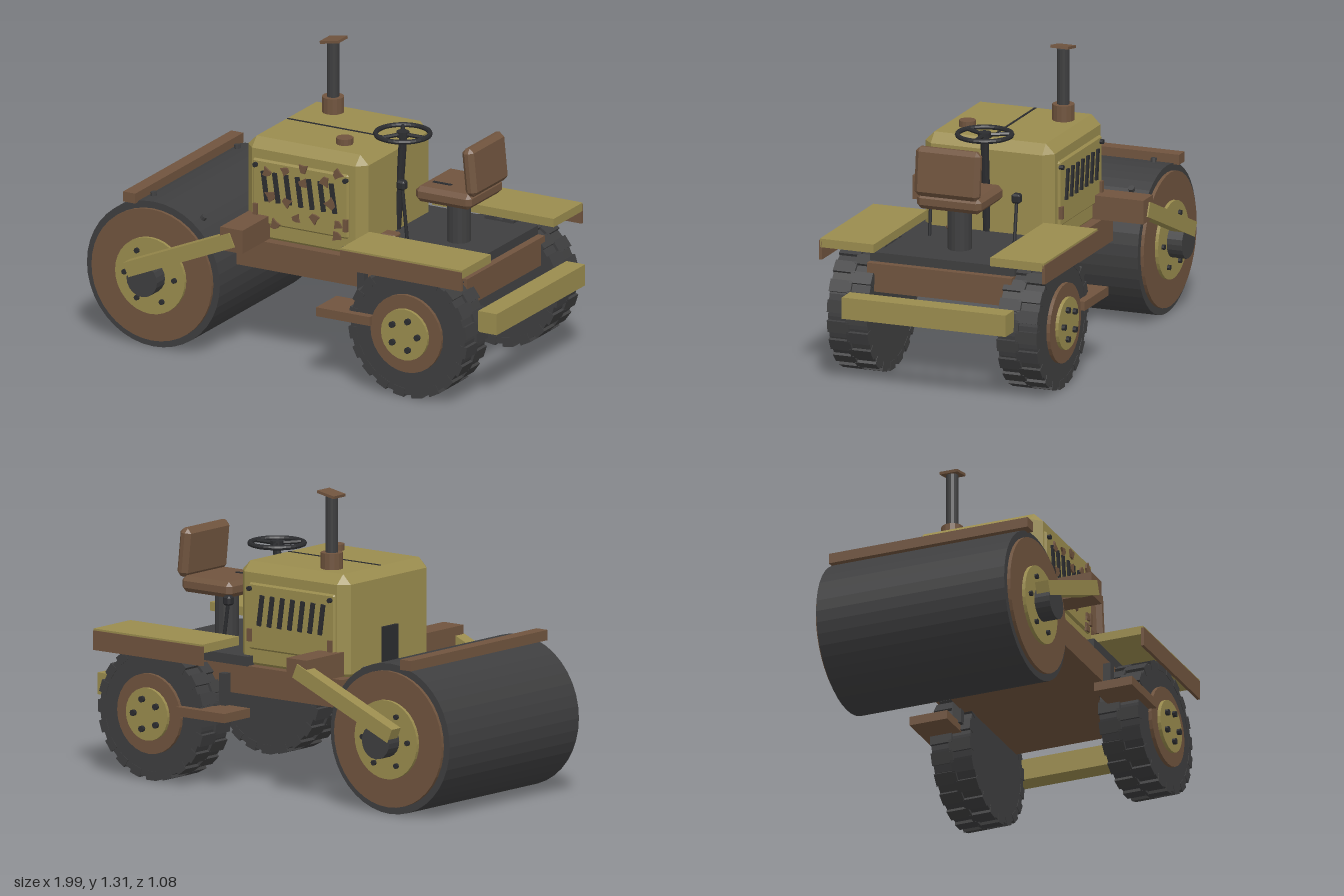
import * as THREE from 'three';
import { ConvexGeometry } from 'three/addons/geometries/ConvexGeometry.js';

const mat = (name, color) => {
  const m = new THREE.MeshStandardMaterial({ color });
  m.name = name;
  m.flatShading = true;
  return m;
};

export function createModel() {
  const root = new THREE.Group();
  root.name = 'roadRoller';
  const yellow = mat('fadedYellow', 0x9a8c4e);
  const rust = mat('rustBrown', 0x70543e);
  const dark = mat('darkMetal', 0x3e3e3f);
  const black = mat('blackDetail', 0x2b2c2f);

  const add = (name, geo, m, x = 0, y = 0, z = 0, parent = root) => {
    const mesh = new THREE.Mesh(geo, m);
    mesh.name = name;
    mesh.position.set(x, y, z);
    parent.add(mesh);
    return mesh;
  };
  // Box given by its low and high limits on each axis
  const box = (name, m, x0, x1, y0, y1, z0, z1, parent) =>
    add(name, new THREE.BoxGeometry(x1 - x0, y1 - y0, z1 - z0), m,
      (x0 + x1) / 2, (y0 + y1) / 2, (z0 + z1) / 2, parent);
  // Box with every edge cut at 45 degrees
  const chamferBox = (w, h, d, c) => {
    const pts = [];
    for (const i of [-1, 1]) for (const j of [-1, 1]) for (const k of [-1, 1]) {
      const [x, y, z] = [w / 2, h / 2, d / 2];
      pts.push(new THREE.Vector3(i * x, j * (y - c), k * (z - c)),
        new THREE.Vector3(i * (x - c), j * y, k * (z - c)),
        new THREE.Vector3(i * (x - c), j * (y - c), k * z));
    }
    return new ConvexGeometry(pts);
  };
  // Cylinder lying along z
  const disc = (r, len, n) => new THREE.CylinderGeometry(r, r, len, n).rotateX(Math.PI / 2);
  // Round bar between two points
  const rod = (name, m, a, b, r, n = 10) => {
    const p = new THREE.Vector3(...a), q = new THREE.Vector3(...b);
    const mid = p.clone().add(q).multiplyScalar(0.5);
    const mesh = add(name, new THREE.CylinderGeometry(r, r, p.distanceTo(q), n), m, mid.x, mid.y, mid.z);
    mesh.quaternion.setFromUnitVectors(new THREE.Vector3(0, 1, 0), q.sub(p).normalize());
    return mesh;
  };
  const boltRing = (parent, n, ring, r, z, len) => {
    for (let i = 0; i < n; i++) {
      const a = (i / n) * Math.PI * 2;
      add('hubBolt', disc(r, len, 8), black, Math.cos(a) * ring, Math.sin(a) * ring, z, parent);
    }
  };

  // Roller drum
  const drum = new THREE.Group();
  drum.name = 'drum';
  drum.position.set(-0.67, 0.332, 0);
  root.add(drum);
  add('drumShell', disc(0.328, 0.88, 40), dark, 0, 0, 0, drum);
  add('drumEndPlate', disc(0.297, 0.91, 40), rust, 0, 0, 0, drum);
  add('drumHub', disc(0.172, 0.94, 32), yellow, 0, 0, 0, drum);
  add('drumAxle', disc(0.075, 1.08, 20), dark, 0, 0, 0, drum);
  for (const s of [-1, 1]) {
    boltRing(drum, 6, 0.123, 0.012, s * 0.472, 0.02);
    for (const x of [-0.044, 0.2]) {
      const peg = add('drumPeg', new THREE.CylinderGeometry(0.014, 0.014, 0.03, 8), dark,
        x, Math.sqrt(0.33 ** 2 - x * x), s * 0.36, drum);
      peg.rotation.z = -Math.asin(x / 0.33);
    }
  }
  box('scraperBar', rust, -0.805, -0.745, 0.645, 0.69, -0.465, 0.465);

  // Fork arms and cross beam
  for (const s of [-1, 1]) {
    const arm = add('forkArm', new THREE.BoxGeometry(0.57, 0.066, 0.061), yellow, -0.487, 0.478, s * 0.511);
    arm.rotation.z = Math.atan2(0.22, 0.515);
  }
  box('crossBeam', rust, -0.285, -0.175, 0.535, 0.64, -0.535, 0.535);

  // Chassis and deck
  box('chassis', rust, -0.32, 0.82, 0.405, 0.53, -0.335, 0.335);
  box('deck', dark, 0.2, 0.785, 0.528, 0.57, -0.335, 0.335);
  box('rearBumper', yellow, 0.9, 0.992, 0.32, 0.415, -0.38, 0.38);

  // Engine hood
  add('hood', chamferBox(0.595, 0.475, 0.6, 0.042), yellow, -0.008, 0.737, 0);
  box('hoodSeam', black, -0.26, 0.245, 0.972, 0.977, -0.005, 0.005);
  box('frontGrille', black, -0.32, -0.3, 0.53, 0.72, -0.05, 0.05);
  for (const s of [-1, 1]) {
    const panel = new THREE.Group();
    panel.name = 'sidePanel';
    root.add(panel);
    add('panelPlate', chamferBox(0.475, 0.29, 0.024, 0.008), yellow, -0.02, 0.745, s * 0.299, panel);
    for (let i = 0; i < 7; i++) {
      const slat = add('louver', new THREE.BoxGeometry(0.02, 0.135, 0.02), black,
        -0.19 + i * 0.056, 0.775, s * 0.31, panel);
      slat.rotation.z = 0.14;
    }
    for (const x of [-0.237, 0.207]) {
      add('panelBolt', disc(0.011, 0.02, 8), black, x, 0.865, s * 0.315, panel);
      box('latch', rust, x - 0.01, x + 0.01, 0.635, 0.69, s * 0.312 - 0.01, s * 0.312 + 0.01, panel);
    }
  }

  // Rust patches on the left side panel: x, y, radius
  const patches = [[-0.16, 0.735, 0.028], [-0.14, 0.61, 0.026], [-0.035, 0.655, 0.022], [0.055, 0.67, 0.026],
    [0.165, 0.608, 0.025], [0.135, 0.75, 0.03], [0, 0.885, 0.024], [0.17, 0.89, 0.026], [0.105, 0.845, 0.026],
    [-0.09, 0.86, 0.022], [-0.18, 0.84, 0.024], [0, 0.82, 0.024], [-0.08, 0.72, 0.025], [0.17, 0.66, 0.022]];
  patches.forEach(([x, y, r], i) => {
    const shape = new THREE.Shape();
    for (let k = 0; k < 7; k++) {
      const a = (k / 7) * Math.PI * 2 + i;
      const q = r * (0.85 + 0.3 * Math.sin(i * 5.1 + k * 2.7));
      shape[k ? 'lineTo' : 'moveTo'](Math.cos(a) * q, Math.sin(a) * q);
    }
    add('rustPatch', new THREE.ExtrudeGeometry(shape, { depth: 0.009, bevelEnabled: false }), rust, x, y, 0.3135);
  });

  // Exhaust stack and filler cap
  add('exhaustBase', new THREE.CylinderGeometry(0.048, 0.048, 0.08, 14), rust, -0.138, 1.005, -0.18);
  add('exhaustPipe', new THREE.CylinderGeometry(0.027, 0.027, 0.26, 14), dark, -0.138, 1.16, -0.18);
  add('rainFlap', new THREE.BoxGeometry(0.092, 0.012, 0.082), rust, -0.135, 1.3, -0.18).rotation.z = 0.18;
  add('fillerCap', new THREE.CylinderGeometry(0.037, 0.037, 0.034, 14), rust, 0.115, 0.985, 0.16);

  // Steering
  rod('steeringColumn', black, [0.28, 0.56, 0], [0.312, 1.0, 0], 0.018);
  add('steeringWheel', new THREE.TorusGeometry(0.117, 0.011, 8, 32).rotateX(Math.PI / 2), black, 0.31, 1.005, 0);
  add('steeringHub', new THREE.CylinderGeometry(0.028, 0.028, 0.025, 12), black, 0.31, 1.003, 0);
  for (let i = 0; i < 3; i++) {
    const a = (i / 3) * Math.PI * 2;
    rod('steeringSpoke', black, [0.31, 1.003, 0],
      [0.31 + Math.cos(a) * 0.115, 1.003, Math.sin(a) * 0.115], 0.009, 6);
  }

  // Levers and pedal
  for (const [z, top] of [[0.198, 0.85], [-0.195, 0.77]]) {
    rod('lever', black, [0.45, 0.56, z], [0.42, top, z], 0.008, 8);
    add('leverKnob', chamferBox(0.04, 0.042, 0.04, 0.008), black, 0.42, top, z);
  }
  add('pedal', chamferBox(0.07, 0.02, 0.06, 0.006), rust, 0.325, 0.588, 0.13);

  // Seat
  add('seatPost', new THREE.CylinderGeometry(0.052, 0.052, 0.21, 16), dark, 0.587, 0.67, 0);
  add('seatCushion', chamferBox(0.275, 0.07, 0.3, 0.02), rust, 0.588, 0.8, 0);
  add('seatBack', chamferBox(0.058, 0.215, 0.3, 0.02), rust, 0.716, 0.935, 0).rotation.z = 0.1;
  box('seatTear', black, 0.495, 0.585, 0.834, 0.838, 0.052, 0.068);

  // Rear wheels, fenders and steps
  for (const s of [-1, 1]) {
    const wheel = new THREE.Group();
    wheel.name = s > 0 ? 'leftWheel' : 'rightWheel';
    wheel.position.set(0.612, 0.297, s * 0.393);
    root.add(wheel);
    add('tyre', disc(0.281, 0.182, 36), dark, 0, 0, 0, wheel);
    for (let i = 0; i < 40; i++) {
      const a = (i / 40) * Math.PI * 2;
      const lug = add('treadLug', new THREE.BoxGeometry(0.04, 0.054, 0.1), dark,
        Math.cos(a) * 0.272, Math.sin(a) * 0.272, i % 2 ? 0.043 : -0.043, wheel);
      lug.rotation.z = a;
    }
    add('wheelRim', disc(0.175, 0.04, 28), rust, 0, 0, s * 0.087, wheel);
    add('wheelHub', disc(0.115, 0.04, 24), yellow, 0, 0, s * 0.102, wheel);
    boltRing(wheel, 5, 0.068, 0.014, s * 0.125, 0.024);

    const mid = s * 0.395;
    box('fenderTop', yellow, 0.3, 0.9, 0.6, 0.638, mid - 0.125, mid + 0.125);
    box('fenderSkirt', rust, 0.3, 0.9, 0.545, 0.63, s * 0.517 - 0.007, s * 0.517 + 0.007);
    box('step', rust, 0.18, 0.445, 0.31, 0.35, s * 0.432 - 0.088, s * 0.432 + 0.088);
    box('stepBracket', dark, 0.295, 0.33, 0.34, 0.49, s * 0.35 - 0.02, s * 0.35 + 0.02);
  }
  return root;
}
